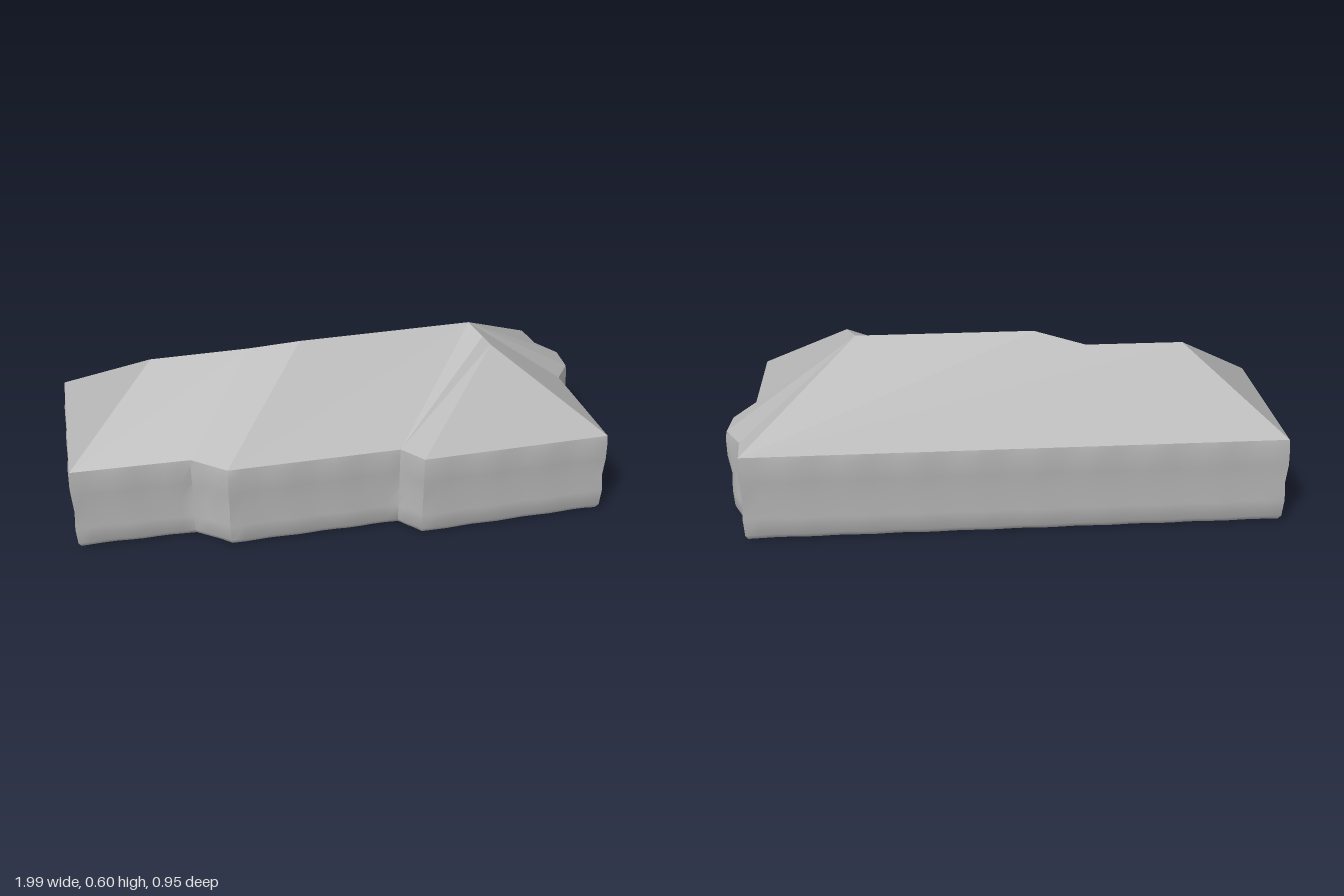
import * as THREE from 'three';
import { toCreasedNormals } from 'three/addons/utils/BufferGeometryUtils.js';

const EAVE = 0.335;

// Footprint corners [x, z], counter-clockwise seen from above
const plan = {
  a: [-0.95, -0.47], b: [-0.99, 0.16], c: [-0.58, 0.2], d: [-0.47, 0.3],
  e: [0.14, 0.345], f: [0.2, 0.43], g: [0.88, 0.472], h: [0.9, 0.04],
  i: [0.97, -0.04], j: [0.985, -0.15], k: [0.935, -0.25], l: [0.93, -0.365],
};

// Ridge points [x, y, z]
const ridge = {
  R1: [-0.65, 0.575, -0.12], R2: [-0.3, 0.575, -0.1], R3: [-0.12, 0.612, -0.035],
  R4: [0.52, 0.612, 0], R5: [0.55, 0.585, 0.14], R6: [0.55, 0.585, 0.07],
};

function geometryFrom(triangles) {
  const geo = new THREE.BufferGeometry();
  geo.setAttribute('position', new THREE.Float32BufferAttribute(triangles.flat(), 3));
  geo.computeVertexNormals();
  return geo;
}

// Fan of triangles over named points
function slope(names) {
  const pts = names.map((n) => ridge[n] || [plan[n][0], EAVE, plan[n][1]]);
  const tris = [];
  for (let i = 1; i < pts.length - 1; i++) tris.push(pts[0], pts[i], pts[i + 1]);
  return geometryFrom(tris);
}

// Footprint cut into short steps, so the walls can undulate
function outline() {
  const corners = Object.values(plan);
  const pts = [];
  corners.forEach((p, i) => {
    const q = corners[(i + 1) % corners.length];
    const n = Math.ceil(Math.hypot(q[0] - p[0], q[1] - p[1]) / 0.05);
    for (let s = 0; s < n; s++) {
      pts.push([p[0] + ((q[0] - p[0]) * s) / n, p[1] + ((q[1] - p[1]) * s) / n]);
    }
  });
  return pts;
}

// One horizontal ring of the wall, pushed out by offset plus a gentle ripple
function ring(pts, y, offset, ripple) {
  return pts.map((p, i) => {
    const prev = pts[(i + pts.length - 1) % pts.length];
    const next = pts[(i + 1) % pts.length];
    const dx = next[0] - prev[0], dz = next[1] - prev[1], len = Math.hypot(dx, dz);
    const out = offset + ripple * Math.sin(i * 1.5 + y * 9);
    return [p[0] - (dz / len) * out, y, p[1] + (dx / len) * out];
  });
}

export function createModel() {
  const model = new THREE.Group();
  model.name = 'house';
  const grey = new THREE.MeshStandardMaterial({ color: 0xb4b4b4 });
  grey.name = 'plainGrey';
  const add = (geo, name, parent = model) => {
    const mesh = new THREE.Mesh(geo, grey);
    mesh.name = name;
    parent.add(mesh);
  };

  // Walls: rounded foot, slightly uneven face
  const profile = [
    [0.008, -0.03, 0], [0.016, -0.01, 0.002], [0.035, 0.002, 0.003], [0.1, 0.005, 0.004],
    [0.17, -0.002, 0.004], [0.24, 0.005, 0.004], [0.31, 0.004, 0.002], [EAVE, 0, 0],
  ];
  const pts = outline();
  const rings = profile.map(([y, offset, ripple]) => ring(pts, y, offset, ripple));
  const tris = [];
  for (let r = 0; r < rings.length - 1; r++) {
    for (let i = 0; i < pts.length; i++) {
      const n = (i + 1) % pts.length;
      const lo = rings[r], hi = rings[r + 1];
      tris.push(lo[i], lo[n], hi[n], lo[i], hi[n], hi[i]);
    }
  }
  add(toCreasedNormals(geometryFrom(tris), 0.7), 'walls');

  // Underside
  const foot = new THREE.Shape(rings[0].map((p) => new THREE.Vector2(p[0], p[2])));
  const base = new THREE.ShapeGeometry(foot);
  base.rotateX(Math.PI / 2).translate(0, profile[0][0], 0);
  add(base, 'base');

  // Hipped roof with stepped front sections
  const roof = new THREE.Group();
  roof.name = 'roof';
  model.add(roof);
  const slopes = {
    leftHip: ['a', 'b', 'R1'],
    frontSlopeLow: ['b', 'c', 'R2', 'R1'],
    firstStep: ['c', 'd', 'R3', 'R2'],
    frontSlopeMiddle: ['d', 'e', 'R4', 'R3'],
    secondStep: ['e', 'f', 'R5', 'R6', 'R4'],
    frontHip: ['f', 'g', 'R5'],
    rightSlope: ['R4', 'R6', 'R5', 'g', 'h', 'i', 'j', 'k', 'l'],
    backSlope: ['l', 'a', 'R1', 'R2', 'R3', 'R4'],
  };
  for (const [name, names] of Object.entries(slopes)) add(slope(names), name, roof);

  return model;
}
